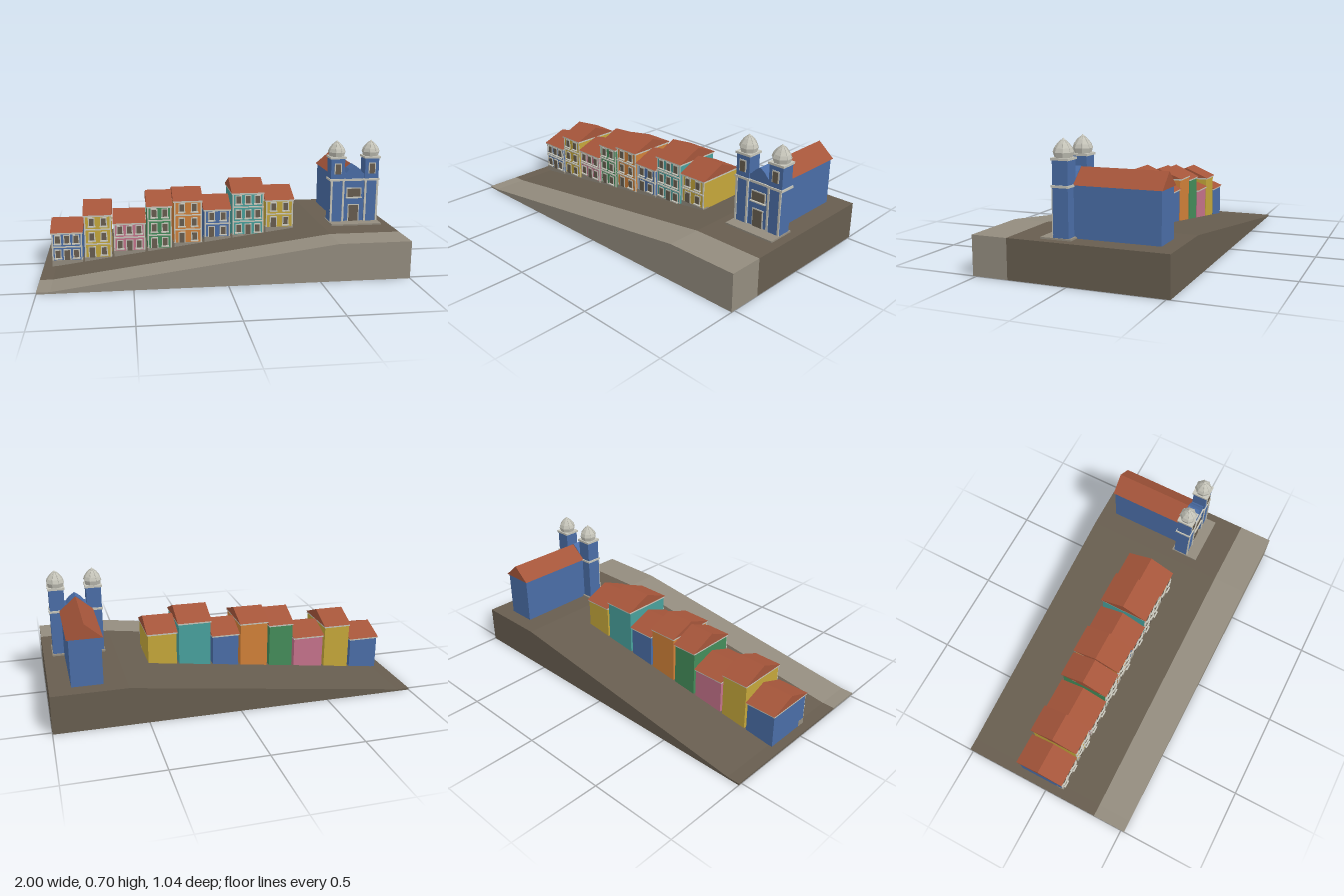
import * as THREE from 'three';

const colors = {
  blue: 0x4a6da6, yellow: 0xc4a63a, pink: 0xc4728a, green: 0x448c5a, orange: 0xd08038,
  teal: 0x48a09c, roofTile: 0xa5553a, trimWhite: 0xc6c5ba, earth: 0x675d4f, paving: 0x938c7e,
};
const M = {};
for (const [name, color] of Object.entries(colors)) {
  M[name] = new THREE.MeshStandardMaterial({ color });
  M[name].name = name;
}

function add(parent, name, geometry, material) {
  const mesh = new THREE.Mesh(geometry, material);
  mesh.name = name;
  parent.add(mesh);
  return mesh;
}

// Box given by its limits on each axis
function box(parent, name, mat, x0, x1, y0, y1, z0, z1) {
  const g = new THREE.BoxGeometry(x1 - x0, y1 - y0, z1 - z0);
  g.translate((x0 + x1) / 2, (y0 + y1) / 2, (z0 + z1) / 2);
  return add(parent, name, g, mat);
}

// Outline in x and y, extruded from z0 to z1
function slab(points, z0, z1) {
  const shape = new THREE.Shape(points.map(([x, y]) => new THREE.Vector2(x, y)));
  const g = new THREE.ExtrudeGeometry(shape, { depth: z1 - z0, bevelEnabled: false });
  return g.translate(0, 0, z0);
}

// Framed opening on a front wall at depth z
function opening(parent, name, x, y0, w, h, z, sill = true) {
  const f = 0.006;
  box(parent, name + 'Frame', M.trimWhite, x - w / 2 - f, x + w / 2 + f, y0 - (sill ? f : 0), y0 + h + f, z - 0.002, z + 0.004);
  box(parent, name + 'Pane', M.earth, x - w / 2, x + w / 2, y0, y0 + h, z, z + 0.006);
  if (sill) box(parent, name + 'Sill', M.trimWhite, x - w / 2 - 0.009, x + w / 2 + 0.009, y0 - 0.008, y0 - 0.002, z, z + 0.014);
}

const FLOOR = 0.085;
const WALL_Z = 0.09;
const BACK_Z = -0.185;

function house(x0, x1, eave, ridge, floors, columns, wall) {
  const g = new THREE.Group();
  g.name = 'house';
  const a = x0 + 0.007, b = x1 - 0.007, base = eave - floors * FLOOR;
  const ground = Math.max(0.003, 0.01 + (x0 + 0.93) * 0.13 - 0.02);
  box(g, 'walls', wall, a, b, ground, eave, BACK_Z, WALL_Z);
  box(g, 'plinth', M.paving, a - 0.001, b + 0.001, ground, base + 0.008, 0.05, WALL_Z + 0.004);
  box(g, 'cornice', M.trimWhite, a - 0.004, b + 0.004, eave - 0.01, eave, BACK_Z - 0.005, WALL_Z + 0.008);
  for (const x of [a, b - 0.008])
    box(g, 'cornerStrip', M.trimWhite, x, x + 0.008, base, eave, WALL_Z - 0.002, WALL_Z + 0.003);
  for (let f = 1; f < floors; f++)
    box(g, 'floorBand', M.trimWhite, a, b, base + f * FLOOR - 0.003, base + f * FLOOR + 0.004, WALL_Z - 0.002, WALL_Z + 0.007);
  // Windows on each floor, with a door at street level
  const step = (b - a - 0.016) / columns;
  const doorColumn = columns === 3 ? 1 : 0;
  for (let f = 0; f < floors; f++) {
    for (let c = 0; c < columns; c++) {
      const x = a + 0.008 + (c + 0.5) * step, y = base + f * FLOOR;
      if (f === 0 && c === doorColumn) opening(g, 'door', x, y + 0.008, 0.03, 0.058, WALL_Z, false);
      else opening(g, 'window', x, y + 0.023, 0.026, 0.042, WALL_Z);
    }
  }
  // Gabled roof with its ridge along the street
  const roof = slab([[-0.1475, eave], [0.1475, eave], [0, ridge]], x0 + 0.001, x1 - 0.001);
  roof.rotateY(Math.PI / 2).translate(0, 0, -0.0475);
  add(g, 'roof', roof, M.roofTile);
  return g;
}

function tower(cx) {
  const g = new THREE.Group();
  g.name = 'bellTower';
  const r = 0.041, cz = 0.054, front = cz + r;
  box(g, 'towerWalls', M.blue, cx - r, cx + r, 0.21, 0.595, cz - r, front);
  for (const [y, e] of [[0.462, 0.006], [0.592, 0.006]])
    box(g, 'towerCornice', M.trimWhite, cx - r - e, cx + r + e, y, y + 0.012, cz - r - e, front + e);
  for (const x of [cx - r, cx + r - 0.011])
    box(g, 'pilaster', M.trimWhite, x, x + 0.011, 0.22, 0.462, front - 0.002, front + 0.005);
  opening(g, 'belfryOpening', cx, 0.503, 0.03, 0.058, front, false);
  // Eight-sided dome with ribs
  const profile = [[0.043, 0.604], [0.05, 0.628], [0.043, 0.648], [0.026, 0.671], [0.009, 0.686], [0, 0.697]];
  const lathe = new THREE.LatheGeometry(profile.map(p => new THREE.Vector2(...p)), 8, Math.PI / 8).toNonIndexed();
  lathe.computeVertexNormals();
  add(g, 'dome', lathe.translate(cx, 0, cz), M.trimWhite);
  for (let i = 0; i < 8; i++) {
    const t = Math.PI / 8 + i * Math.PI / 4;
    for (let k = 1; k < 4; k++) {
      const p = profile.slice(k, k + 2).map(([q, y]) => new THREE.Vector3(cx + q * Math.sin(t), y, cz + q * Math.cos(t)));
      add(g, 'domeRib', new THREE.TubeGeometry(new THREE.LineCurve3(p[0], p[1]), 1, 0.0022, 4), M.trimWhite);
    }
  }
  return g;
}

function church() {
  const g = new THREE.Group();
  g.name = 'church';
  const cx = 0.803;
  box(g, 'platform', M.paving, cx - 0.148, cx + 0.148, 0.2, 0.219, 0, 0.163);
  box(g, 'nave', M.blue, cx - 0.083, cx + 0.083, 0.2, 0.472, -0.435, 0.02);
  add(g, 'naveRoof', slab([[cx - 0.093, 0.47], [cx + 0.093, 0.47], [cx, 0.55]], -0.442, 0.012), M.roofTile);
  for (const s of [-1, 1]) g.add(tower(cx + s * 0.102));
  // Facade with a peaked, curved gable
  const half = [[0.066, 0.21], [0.066, 0.498], [0.05, 0.507], [0.03, 0.53], [0, 0.552]];
  const outline = [...half.map(([x, y]) => [cx + x, y]), ...half.slice(0, 4).reverse().map(([x, y]) => [cx - x, y])];
  add(g, 'facade', slab(outline, 0.013, 0.087), M.blue);
  box(g, 'facadeCornice', M.trimWhite, cx - 0.066, cx + 0.066, 0.46, 0.472, 0.08, 0.094);
  opening(g, 'churchDoor', cx, 0.219, 0.056, 0.095, 0.087, false);
  opening(g, 'choirWindow', cx, 0.365, 0.078, 0.048, 0.087);
  return g;
}

export function createModel() {
  const model = new THREE.Group();
  model.name = 'hillsideStreet';

  // Sloping ground with a paved strip along the front
  const hill = [[-1, 0], [1, 0], [1, 0.21], [0.6, 0.21], [-0.93, 0.01], [-1, 0.01]];
  add(model, 'earthGround', slab(hill, -0.52, 0.323), M.earth);
  add(model, 'pavedStrip', slab(hill, 0.323, 0.52), M.paving);

  // Row of houses: right edge, eave, ridge, floors, window columns, wall
  const row = [
    [-0.774, 0.206, 0.262, 2, 3, 'blue'],
    [-0.608, 0.302, 0.364, 3, 2, 'yellow'],
    [-0.416, 0.25, 0.305, 2, 3, 'pink'],
    [-0.263, 0.343, 0.41, 3, 2, 'green'],
    [-0.088, 0.37, 0.425, 3, 2, 'orange'],
    [0.076, 0.314, 0.375, 2, 2, 'blue'],
    [0.272, 0.407, 0.47, 3, 3, 'teal'],
    [0.447, 0.36, 0.423, 2, 2, 'yellow'],
  ];
  let left = -0.958;
  for (const [right, eave, ridge, floors, columns, wall] of row) {
    model.add(house(left, right, eave, ridge, floors, columns, M[wall]));
    left = right;
  }

  model.add(church());
  return model;
}
